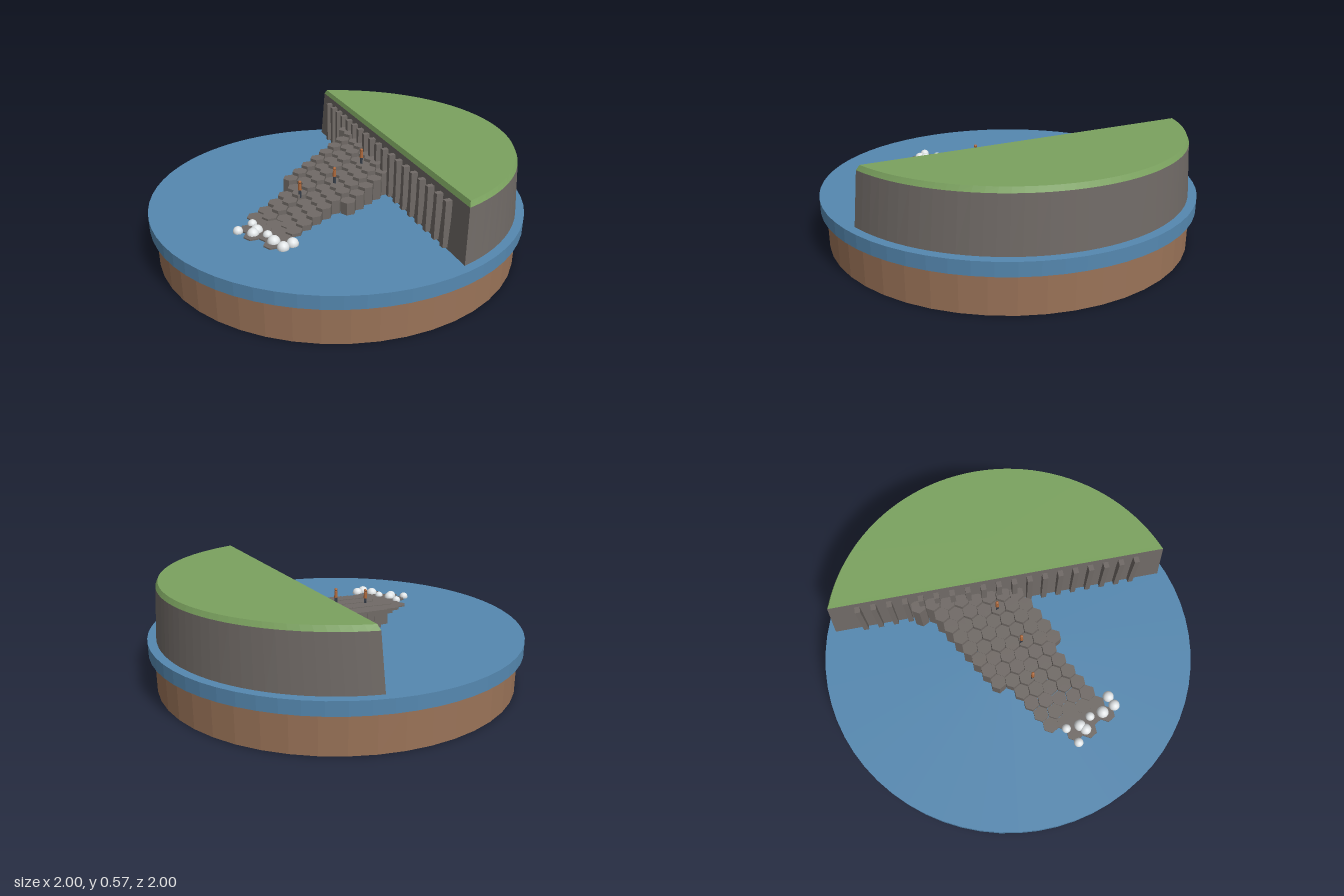
import * as THREE from 'three';

const material = (name, color) => {
  const m = new THREE.MeshStandardMaterial({ color });
  m.name = name;
  return m;
};

// Give each face its own normal
const faceted = (g) => {
  const f = g.index ? g.toNonIndexed() : g;
  f.computeVertexNormals();
  return f;
};

const add = (parent, name, geometry, mat, x = 0, y = 0, z = 0) => {
  const mesh = new THREE.Mesh(geometry, mat);
  mesh.name = name;
  mesh.position.set(x, y, z);
  parent.add(mesh);
  return mesh;
};

// Circle segment of radius r, cut by a chord at distance d behind the centre
function segmentOutline(r, d, n = 44) {
  const half = Math.acos(d / r);
  return Array.from({ length: n + 1 }, (_, i) => {
    const a = -half + (2 * half * i) / n;
    return [r * Math.sin(a), -r * Math.cos(a)];
  });
}

// Tapered slab between two outlines, closed at the top
function slab(lower, y0, upper, y1) {
  const pos = [];
  const n = lower.length;
  const cz = -0.5;
  for (let i = 0; i < n; i++) {
    const j = (i + 1) % n;
    const a = [lower[i][0], y0, lower[i][1]], b = [lower[j][0], y0, lower[j][1]];
    const c = [upper[i][0], y1, upper[i][1]], d = [upper[j][0], y1, upper[j][1]];
    pos.push(...a, ...c, ...b, ...b, ...c, ...d, 0, y1, cz, ...d, ...c);
  }
  const g = new THREE.BufferGeometry();
  g.setAttribute('position', new THREE.Float32BufferAttribute(pos, 3));
  return faceted(g);
}

export function createModel() {
  const model = new THREE.Group();
  model.name = 'causewayDiorama';
  const earth = material('earth', 0x9a7358);
  const water = material('water', 0x5588b0);
  const stone = material('stone', 0x706a66);
  const grass = material('grass', 0x7ba25f);
  const foam = material('foam', 0xe6eaec);
  const coat = material('coat', 0xb06a3c);
  const trousers = material('trousers', 0x3c4450);

  // Round plinth and sea
  add(model, 'plinth', faceted(new THREE.CylinderGeometry(0.97, 0.97, 0.2, 48)), earth, 0, 0.1, 0);
  add(model, 'sea', faceted(new THREE.CylinderGeometry(1, 1, 0.07, 64)), water, 0, 0.235, 0);

  // Headland, with its straight face turned 20 degrees
  const headland = new THREE.Group();
  headland.name = 'headland';
  headland.rotation.y = -Math.PI / 9;
  model.add(headland);
  const foot = segmentOutline(0.955, 0.255);
  const brow = segmentOutline(0.937, 0.27);
  const crown = segmentOutline(0.925, 0.28);
  add(headland, 'cliff', slab(foot, 0.27, brow, 0.545), stone);
  add(headland, 'grassTop', slab(brow, 0.545, crown, 0.57), grass);

  // Upright ribs along the cliff face
  const rib = new THREE.BoxGeometry(0.028, 0.24, 0.034);
  for (let i = -9; i <= 9; i++) add(headland, 'cliffRib', rib, stone, i / 12, 0.4, -0.247);

  // Causeway of hexagonal columns stepping down into the sea
  const step = 0.076;
  const tilt = THREE.MathUtils.degToRad(10);
  const toWorld = (p, q) => [
    q * Math.cos(tilt) + p * Math.sin(tilt),
    p * Math.cos(tilt) - q * Math.sin(tilt),
  ];
  const columnTop = (p) => Math.max(0.277, 0.372 - 0.2 * p);
  const causeway = new THREE.Group();
  causeway.name = 'causeway';
  model.add(causeway);
  for (let k = -4; k <= 3; k++) {
    for (let j = -7; j <= 9; j++) {
      const odd = Math.abs(k % 2) === 1;
      const p = (j + (odd ? -0.05 : 0.45)) * step;
      const q = k * step * 0.866;
      const [x, z] = toWorld(p, q);
      const nearCliff = -0.342 * x + 0.94 * z;
      const halfWidth = p < 0.22 ? 0.24 : 0.17;
      if (nearCliff < -0.26 || p > 0.65) continue;
      if (Math.abs(q) > halfWidth && !(k === -4 && p < -0.38)) continue;
      if (k === -2 && p > 0.53) continue;
      const wobble = p < 0.5 ? (((k * 7 + j * 5 + 70) % 5) - 2) * 0.005 : 0;
      const top = Math.max(0.277, columnTop(p) + wobble);
      const r = p > 0.47 ? 0.0438 : 0.042;
      const column = new THREE.CylinderGeometry(r, r, top - 0.25, 6);
      add(causeway, 'hexColumn', faceted(column), stone, x, (top + 0.25) / 2, z)
        .rotation.y = Math.PI / 2 + tilt;
    }
  }

  // Foam balls around the seaward end
  const foamBalls = [
    [0.015, 0.565, 0.024], [0.085, 0.588, 0.031], [0.1, 0.62, 0.03], [0.157, 0.575, 0.024],
    [0.227, 0.59, 0.032], [0.3, 0.535, 0.03], [0.3, 0.59, 0.03], [0.03, 0.66, 0.025],
  ];
  for (const [x, z, r] of foamBalls) {
    add(model, 'foamBall', new THREE.SphereGeometry(r, 14, 10), foam, x, 0.277, z);
  }

  // Small walkers on the columns
  for (const [x, z] of [[0.03, -0.16], [0.05, 0.055], [0, 0.25]]) {
    const walker = new THREE.Group();
    walker.name = 'walker';
    walker.position.set(x, columnTop(x * Math.sin(tilt) + z * Math.cos(tilt)) - 0.005, z);
    for (const side of [-1, 1]) {
      add(walker, 'leg', new THREE.CylinderGeometry(0.004, 0.004, 0.045, 6), trousers, side * 0.005, 0.0225, 0);
    }
    add(walker, 'body', new THREE.CylinderGeometry(0.008, 0.01, 0.036, 8), coat, 0, 0.061, 0);
    add(walker, 'head', new THREE.SphereGeometry(0.009, 8, 6), coat, 0, 0.087, 0);
    model.add(walker);
  }
  return model;
}
